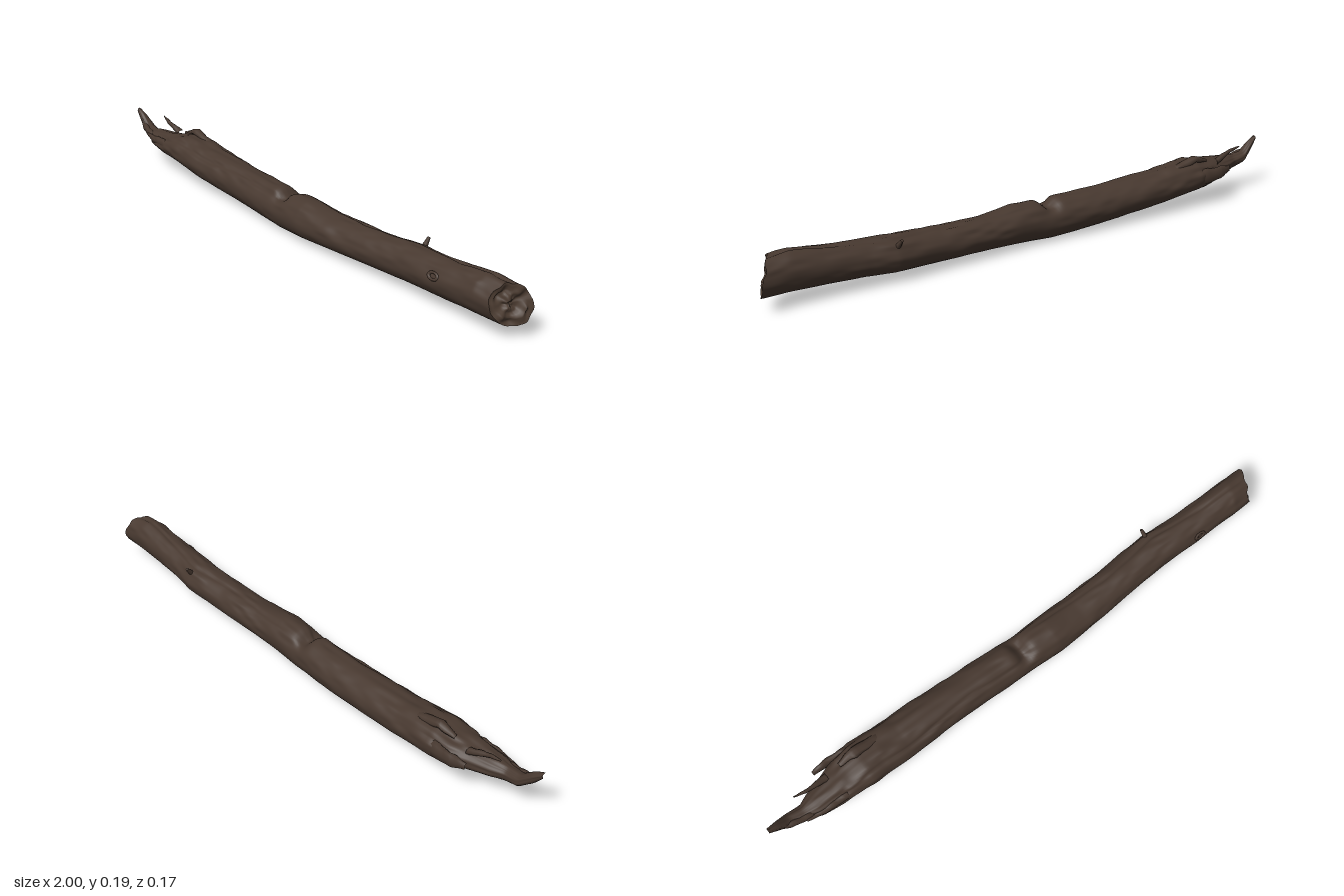
import * as THREE from 'three';

const bark = new THREE.MeshStandardMaterial({ color: 0x483930 });
bark.name = 'dark bark';
const wood = new THREE.MeshStandardMaterial({ color: 0x4c3c31 });
wood.name = 'broken wood';

// Log sections: x, bottom y, top y, back z, front z
const SECTIONS = [
  [-1, 0.172, 0.19, -0.004, 0.012],
  [-0.97, 0.135, 0.175, -0.012, 0.016],
  [-0.93, 0.1, 0.142, -0.022, 0.022],
  [-0.88, 0.084, 0.137, -0.018, 0.03],
  [-0.84, 0.076, 0.142, -0.035, 0.048],
  [-0.77, 0.064, 0.148, -0.055, 0.058],
  [-0.71, 0.055, 0.155, -0.08, 0.062],
  [-0.65, 0.047, 0.166, -0.088, 0.066],
  [-0.58, 0.038, 0.164, -0.085, 0.068],
  [-0.5, 0.03, 0.153, -0.083, 0.067],
  [-0.38, 0.021, 0.148, -0.079, 0.064],
  [-0.2, 0.009, 0.14, -0.07, 0.066],
  [-0.03, 0, 0.135, -0.056, 0.074],
  [0.1, 0.007, 0.138, -0.053, 0.083],
  [0.22, 0.014, 0.127, -0.053, 0.08],
  [0.4, 0.018, 0.13, -0.056, 0.07],
  [0.57, 0.024, 0.139, -0.063, 0.065],
  [0.66, 0.029, 0.146, -0.05, 0.069],
  [0.8, 0.036, 0.156, -0.042, 0.073],
  [0.9, 0.04, 0.167, -0.039, 0.077],
  [0.97, 0.041, 0.162, -0.038, 0.074],
];

const { lerp, smoothstep } = THREE.MathUtils;
const TAU = Math.PI * 2;
const gauss = (d, w) => Math.exp(-(d * d) / (w * w));

function hash(i, j) {
  const s = Math.sin(i * 127.1 + j * 311.7) * 43758.5453;
  return s - Math.floor(s);
}

// Value noise from -0.5 to 0.5, stretched along x and wrapped around the trunk
function noise(x, a, freq, cells) {
  const u = x * freq + 50;
  const v = (((a / TAU) % 1) + 1) % 1 * cells;
  const i = Math.floor(u), j = Math.floor(v) % cells, k = (j + 1) % cells;
  const s = smoothstep(u - i, 0, 1), t = smoothstep(v - Math.floor(v), 0, 1);
  return lerp(lerp(hash(i, j), hash(i + 1, j), s), lerp(hash(i, k), hash(i + 1, k), s), t) - 0.5;
}

// Closed loft: point(u, angle) gives a position, angle 0 faces +z and runs towards +y
function loft(rings, sides, point) {
  const pos = [], index = [];
  for (let i = 0; i <= rings; i++) {
    for (let j = 0; j < sides; j++) {
      pos.push(...point(i / rings, (j / sides) * TAU));
      if (i === rings) continue;
      const a = i * sides + j, b = i * sides + ((j + 1) % sides);
      index.push(a, a + sides, b, b, a + sides, b + sides);
    }
  }
  const g = new THREE.BufferGeometry();
  g.setAttribute('position', new THREE.Float32BufferAttribute(pos, 3));
  g.setIndex(index);
  g.computeVertexNormals();
  return g;
}

function section(x) {
  let k = 0;
  while (k < SECTIONS.length - 2 && x > SECTIONS[k + 1][0]) k++;
  const p = SECTIONS[k], q = SECTIONS[k + 1];
  const t = (x - p[0]) / (q[0] - p[0]);
  return p.map((v, n) => lerp(v, q[n], t));
}

// Point on the weathered bark
function barkPoint(x, a) {
  const [, y0, y1, z0, z1] = section(x);
  const up = smoothstep(Math.sin(a), -0.5, 0.6);
  const torn = smoothstep(-x, 0.45, 0.75);
  const rough = 0.35 + 0.65 * up + 0.7 * torn;
  let r = 1 + 0.08 * rough * noise(x, a, 7, 9) + 0.09 * rough * noise(x, a, 17, 24);
  // long cracks in the bark
  r -= 0.09 * gauss(a - 1.0 - 0.5 * x - 0.1 * Math.sin(x * 17), 0.09) * smoothstep(-x, 0, 0.1);
  r -= 0.08 * gauss(a - 2.1 + 0.4 * x - 0.1 * Math.sin(x * 13), 0.09) * smoothstep(x, 0, 0.1);
  r -= 0.12 * torn * up * Math.max(0, noise(x, a, 9, 14)) * 2;
  // notch across the top
  r -= 0.4 * gauss(x + 0.02, 0.025) * smoothstep(Math.sin(a), 0.4, 1);
  const y = (y0 + y1) / 2 + Math.sin(a) * r * (y1 - y0) / 2;
  const z = (z0 + z1) / 2 + Math.cos(a) * r * (z1 - z0) / 2;
  // the sawn end leans forward and up
  const lean = smoothstep(x, 0.8, 0.97);
  const ragged = 0.022 * noise(0.3, a, 5, 17);
  return [x + lean * (-0.42 * (z - 0.018) - 0.2 * (y - 0.1) + ragged), y, z];
}

function add(group, name, geometry, material) {
  const mesh = new THREE.Mesh(geometry, material);
  mesh.name = name;
  group.add(mesh);
  return mesh;
}

// Tapered splinter along increasing x; points are [x, y, z, half height, half depth]
function splinter(points) {
  return loft(14, 8, (u, a) => {
    const s = Math.min(u * (points.length - 1), points.length - 1.0001);
    const k = Math.floor(s);
    const [x, y, z, h, d] = points[k].map((v, n) => lerp(v, points[k + 1][n], s - k));
    const r = 1 + 0.5 * noise(x, a, 40, 5);
    return [x, y + Math.sin(a) * h * r, z + Math.cos(a) * d * r];
  });
}

export function createModel() {
  const model = new THREE.Group();
  model.name = 'fallenLog';

  add(model, 'trunk', loft(240, 64, (u, a) => barkPoint(lerp(-1, 0.97, u), a)), bark);

  // Rough face closing the right end
  const [, y0, y1, z0, z1] = section(0.97);
  const cy = (y0 + y1) / 2, cz = (z0 + z1) / 2;
  add(model, 'brokenEnd', loft(12, 64, (u, a) => {
    const [x, y, z] = barkPoint(0.97, a);
    const cx = 0.97 - 0.2 * (cy - 0.1) - 0.42 * (cz - 0.018);
    const dent = 0.03 * noise(u, a, 5, 9) * Math.sin(u * Math.PI) - 0.008 * u;
    return [lerp(x, cx, u) + dent, lerp(y, cy, u), lerp(z, cz, u)];
  }), wood);

  // Splinters of the torn left end
  const splinters = new THREE.Group();
  splinters.name = 'splinters';
  model.add(splinters);
  const pieces = {
    upperSliver: [[-0.88, 0.177, -0.036, 0.002, 0.002], [-0.84, 0.167, -0.03, 0.008, 0.006], [-0.76, 0.138, -0.035, 0.012, 0.012]],
    backStrip: [[-0.79, 0.12, -0.076, 0.012, 0.006], [-0.74, 0.115, -0.08, 0.024, 0.011], [-0.64, 0.105, -0.072, 0.03, 0.016]],
    topChip: [[-0.71, 0.156, -0.035, 0.005, 0.008], [-0.65, 0.17, -0.038, 0.013, 0.018], [-0.55, 0.146, -0.034, 0.01, 0.014]],
    tipProng: [[-0.985, 0.158, 0.004, 0.003, 0.003], [-0.94, 0.13, 0.016, 0.014, 0.01], [-0.85, 0.11, 0.025, 0.018, 0.014]],
    frontSliver: [[-0.89, 0.118, 0.034, 0.004, 0.004], [-0.83, 0.115, 0.042, 0.014, 0.01], [-0.74, 0.115, 0.045, 0.018, 0.012]],
  };
  for (const [name, points] of Object.entries(pieces)) add(splinters, name, splinter(points), bark);

  // Twig stub on the upper back
  const from = new THREE.Vector3(0.57, 0.105, -0.03), to = new THREE.Vector3(0.565, 0.143, -0.064);
  const stub = add(model, 'twigStub', new THREE.CylinderGeometry(0.005, 0.012, from.distanceTo(to), 8), bark);
  stub.position.copy(from).lerp(to, 0.5);
  stub.quaternion.setFromUnitVectors(new THREE.Vector3(0, 1, 0), to.clone().sub(from).normalize());

  // Knot on the front
  const knot = add(model, 'knot', new THREE.TorusGeometry(0.013, 0.005, 8, 20), bark);
  knot.position.set(0.72, 0.11, 0.068);
  knot.rotation.x = -0.35;
  knot.scale.set(1.3, 0.8, 0.8);

  return model;
}
